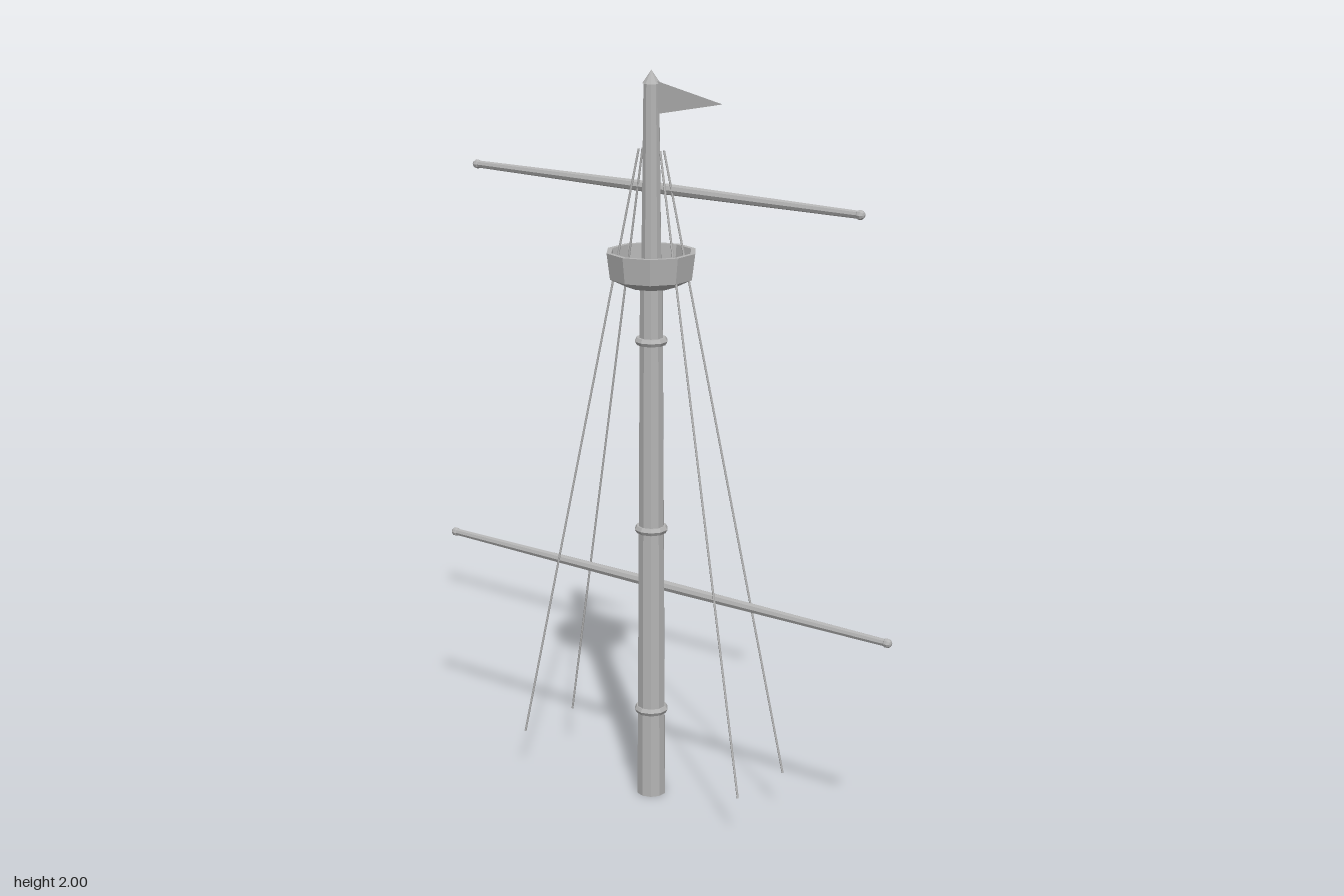
import * as THREE from 'three';

export function createModel() {
  const root = new THREE.Group();
  root.name = 'shipMast';
  const grey = new THREE.MeshStandardMaterial({ color: 0xb4b4b4, flatShading: true, side: THREE.DoubleSide });
  grey.name = 'grey';

  const add = (name, geometry, parent = root) => {
    const mesh = new THREE.Mesh(geometry, grey);
    mesh.name = name;
    parent.add(mesh);
    return mesh;
  };
  const lathe = (points, sides) =>
    new THREE.LatheGeometry(points.map(([r, y]) => new THREE.Vector2(r, y)), sides);

  // Tapering mast, open at the foot, with a pointed cap
  add('lowerMast', lathe([[0.04, 0], [0.031, 1.46]], 10));
  add('upperMast', lathe([[0.028, 1.44], [0.021, 1.965]], 10));
  add('mastCap', lathe([[0, 1.965], [0.024, 1.965], [0, 2]], 10));

  // Collars around the lower mast
  [0.25, 0.77, 1.29].forEach((y, i) => {
    const collar = add('collar' + (i + 1), new THREE.TorusGeometry(0.036 - i * 0.001, 0.011, 6, 10));
    collar.rotation.set(Math.PI / 2, 0, Math.PI / 10);
    collar.position.y = y;
  });

  // Lookout basket: hollow tub with a floor and thick rim
  add('lookoutBasket', lathe([
    [0, 1.437], [0.065, 1.437], [0.112, 1.46], [0.121, 1.53],
    [0.108, 1.53], [0.102, 1.465], [0, 1.465],
  ], 10));

  // Yards: spars thickest at the middle, with a knob at each end
  const addYard = (name, y, half) => {
    const yard = new THREE.Group();
    yard.name = name;
    yard.position.set(0, y, -0.025);
    add('spar', lathe([
      [0, -half], [0.01, -half], [0.015, 0], [0.01, half], [0, half],
    ], 8).rotateZ(Math.PI / 2), yard);
    for (const s of [-1, 1]) {
      add('endKnob', new THREE.SphereGeometry(0.013, 8, 5).rotateZ(Math.PI / 2), yard).position.x = s * half;
    }
    root.add(yard);
  };
  addYard('lowerYard', 0.605, 0.738);
  addYard('upperYard', 1.692, 0.625);

  // Shroud lines running from the upper mast down to the deck
  for (const sx of [-1, 1]) {
    for (const sz of [-1, 1]) {
      const path = new THREE.LineCurve3(
        new THREE.Vector3(sx * 0.37, 0.12, sz * 0.104),
        new THREE.Vector3(sx * 0.035, 1.795, sz * 0.008));
      add('shroud', new THREE.TubeGeometry(path, 1, 0.003, 5));
    }
  }

  // Triangular pennant
  const pennant = new THREE.Shape([
    new THREE.Vector2(0.018, 1.972), new THREE.Vector2(0.018, 1.888), new THREE.Vector2(0.226, 1.93),
  ]);
  add('pennant', new THREE.ShapeGeometry(pennant));

  return root;
}
